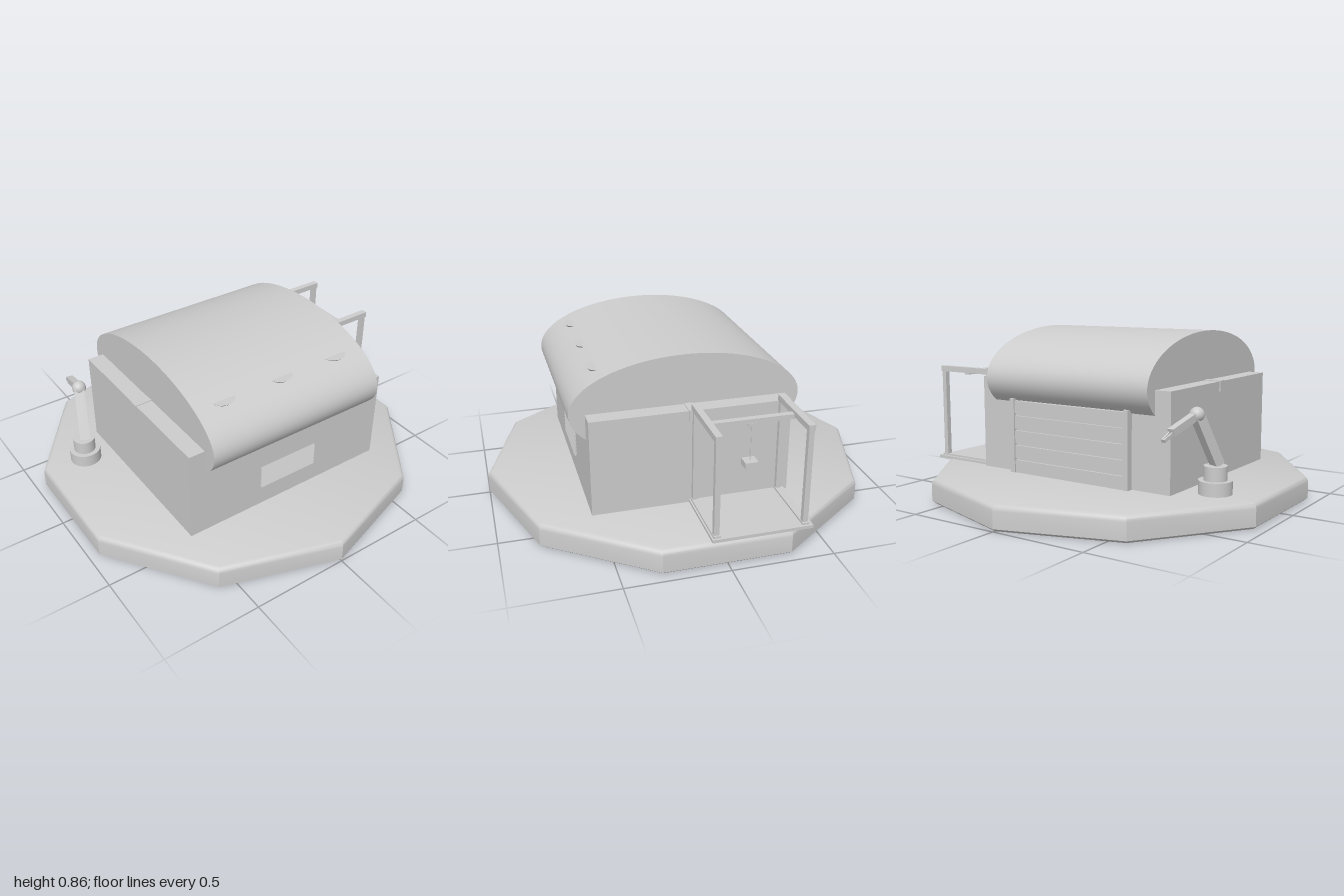
import * as THREE from 'three';
import { toCreasedNormals } from 'three/addons/utils/BufferGeometryUtils.js';

export function createModel() {
  const grey = new THREE.MeshStandardMaterial({ color: 0xcccccc });
  grey.name = 'plain grey';
  const model = new THREE.Group();
  model.name = 'workshop';

  const add = (name, geometry, parent = model) => {
    const mesh = new THREE.Mesh(geometry, grey);
    mesh.name = name;
    parent.add(mesh);
    return mesh;
  };
  const group = (name) => {
    const g = new THREE.Group();
    g.name = name;
    model.add(g);
    return g;
  };
  // Box given by its lower and upper limits on each axis
  const box = (name, x0, x1, y0, y1, z0, z1, parent) => {
    const mesh = add(name, new THREE.BoxGeometry(x1 - x0, y1 - y0, z1 - z0), parent);
    mesh.position.set((x0 + x1) / 2, (y0 + y1) / 2, (z0 + z1) / 2);
    return mesh;
  };
  // Bar of rectangular section running from a to b
  const bar = (name, a, b, w, h, parent) => {
    const from = new THREE.Vector3(...a), to = new THREE.Vector3(...b);
    const mesh = add(name, new THREE.BoxGeometry(w, h, from.distanceTo(to)), parent);
    mesh.position.copy(from).add(to).multiplyScalar(0.5);
    mesh.lookAt(to);
    return mesh;
  };

  // Ten-sided base with rounded upper rim
  const rim = [[0, 0], [0.985, 0], [1, 0.012], [1, 0.095], [0.997, 0.108], [0.99, 0.118], [0.975, 0.125], [0, 0.125]];
  const baseGeo = new THREE.LatheGeometry(rim.map((p) => new THREE.Vector2(...p)), 10);
  add('base', toCreasedNormals(baseGeo, 0.55));

  // Main hall
  box('hallWalls', -0.575, 0.575, 0.12, 0.61, -0.43, 0.555);
  for (const s of [-1, 1]) {
    const x = s * 0.535;
    box('wallStrap', x - 0.046, x + 0.046, 0.56, 0.614, 0.04, 0.082);
  }

  // Barrel roof: an ellipse cut off by a flat chord
  const profile = new THREE.Shape();
  profile.absellipse(0.067, 0.61, 0.565, 0.25, -Math.PI / 6, Math.PI * 7 / 6, false, 0);
  profile.closePath();
  const roofGeo = new THREE.ExtrudeGeometry(profile, { depth: 0.98, bevelEnabled: false, curveSegments: 40 });
  roofGeo.rotateY(-Math.PI / 2).translate(0.49, 0, 0);
  add('barrelRoof', toCreasedNormals(roofGeo, 0.5));

  // Roof lamps: shallow bowls with flat tops, half sunk in the roof
  const bowl = [[0, 0], [0.03, 0], [0.05, 0.006], [0.065, 0.02], [0, 0.02]].map((p) => new THREE.Vector2(...p));
  for (const x of [-0.33, 0, 0.33]) {
    add('roofLamp', toCreasedNormals(new THREE.LatheGeometry(bowl, 24), 0.6)).position.set(x, 0.764, 0.454);
  }

  // Louvred vent on the front wall
  const vent = group('frontVent');
  for (let i = 0; i < 6; i++) {
    const slat = box('ventSlat', -0.168, 0.165, 0, 0.02, 0, 0.006, vent);
    slat.position.set(-0.002, 0.245 + i * 0.021, 0.559);
    slat.rotation.x = -0.45;
  }

  // Shutter door with side posts on the back wall
  const door = group('shutterDoor');
  box('doorPanel', -0.34, 0.34, 0.125, 0.5, -0.45, -0.43, door);
  for (let i = 0; i < 5; i++) {
    const y = 0.125 + i * 0.077;
    box('doorSlat', -0.335, 0.335, y, y + 0.066, -0.462, -0.445, door);
  }
  for (const s of [-1, 1]) {
    box('doorPost', s * 0.35 - 0.013, s * 0.35 + 0.013, 0.125, 0.51, -0.467, -0.43, door);
  }

  // Loading platform with hoist frame
  const hoist = group('hoistFrame');
  box('platform', 0.57, 0.947, 0.122, 0.138, -0.41, 0.078, hoist);
  for (const z of [0.052, -0.378]) {
    box('floorRail', 0.571, 0.935, 0.13, 0.147, z - 0.017, z + 0.017, hoist);
    box('topBeam', 0.571, 0.93, 0.612, 0.642, z - 0.016, z + 0.016, hoist);
    for (const x of [0.584, 0.913]) {
      box('post', x - 0.013, x + 0.013, 0.13, 0.62, z - 0.013, z + 0.013, hoist);
    }
  }
  box('crossBeam', 0.736, 0.767, 0.602, 0.626, -0.378, 0.052, hoist);
  box('trolley', 0.734, 0.769, 0.592, 0.606, -0.18, -0.14, hoist);
  const cable = add('cable', new THREE.CylinderGeometry(0.003, 0.003, 0.19, 8), hoist);
  cable.position.set(0.752, 0.5, -0.16);
  box('load', 0.721, 0.783, 0.382, 0.412, -0.192, -0.128, hoist);

  // Jointed robot arm on a stepped pedestal
  const arm = group('robotArm');
  const foot = [-0.722, 0.26, -0.25], elbow = [-0.674, 0.505, -0.365], wrist = [-0.645, 0.445, -0.545];
  add('pedestal', new THREE.CylinderGeometry(0.081, 0.081, 0.068, 32), arm).position.set(-0.722, 0.156, -0.267);
  add('turntable', new THREE.CylinderGeometry(0.056, 0.056, 0.07, 32), arm).position.set(-0.722, 0.223, -0.267);
  bar('upperArm', foot, elbow, 0.052, 0.05, arm);
  add('elbow', new THREE.SphereGeometry(0.036, 24, 16), arm).position.set(...elbow);
  bar('forearm', elbow, wrist, 0.034, 0.036, arm);
  for (const s of [-1, 1]) {
    const dx = s * 0.009;
    bar('gripperFinger', [wrist[0] + dx, wrist[1], wrist[2] + 0.01], [-0.637 + dx * 0.6, 0.415, -0.598], 0.009, 0.016, arm);
  }
  return model;
}
